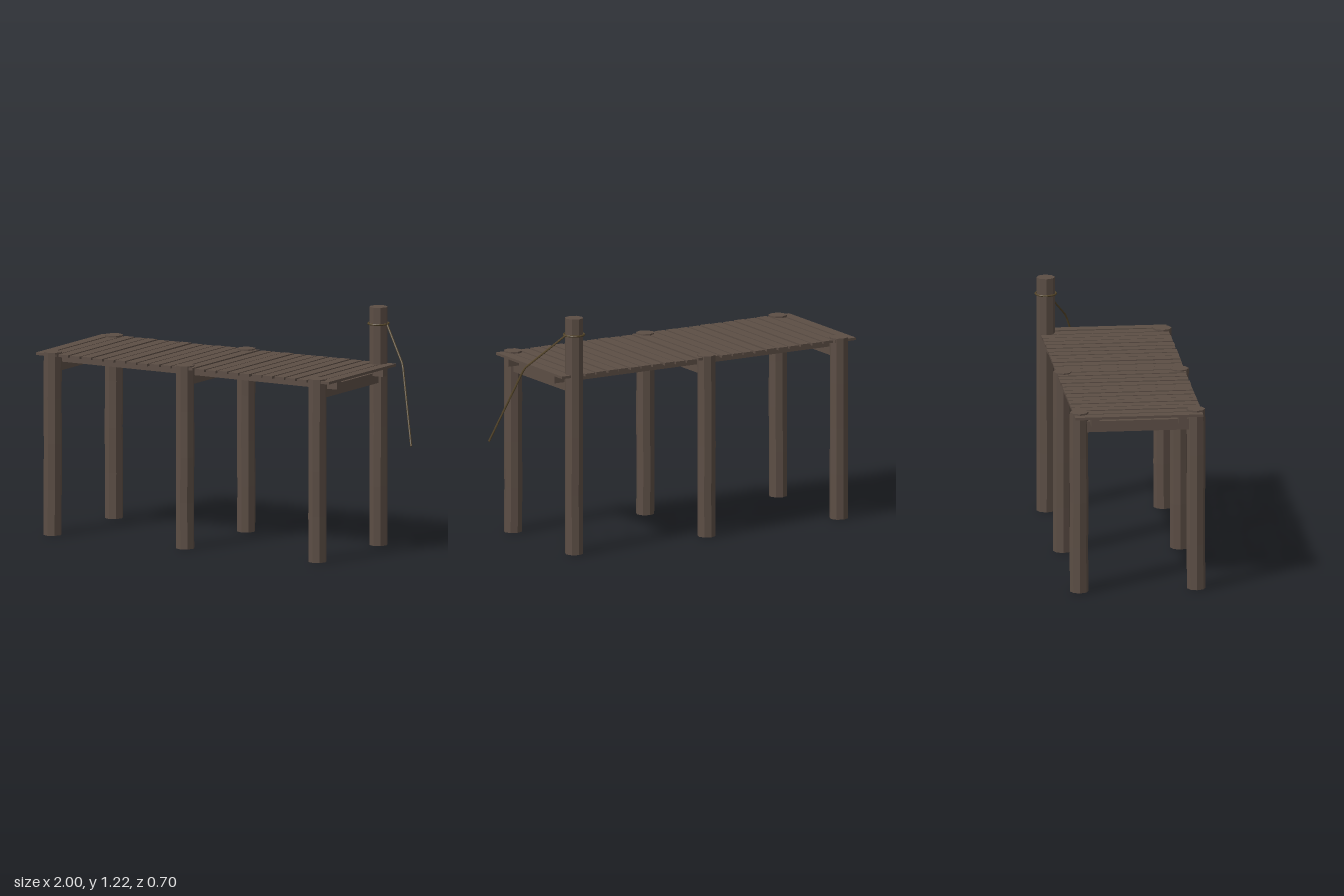
import * as THREE from 'three';

export function createModel() {
  const model = new THREE.Group();
  model.name = 'jetty';

  const wood = new THREE.MeshStandardMaterial({ color: 0x5c4e45, flatShading: true });
  wood.name = 'weathered wood';
  const ropeMat = new THREE.MeshStandardMaterial({ color: 0x54452a, flatShading: true });
  ropeMat.name = 'rope';

  // Small seeded generator, returns -1..1
  let seed = 7;
  const rand = () => {
    seed = (seed * 16807) % 2147483647;
    return (seed / 2147483647) * 2 - 1;
  };

  const add = (name, geometry, material, x = 0, y = 0, z = 0) => {
    const mesh = new THREE.Mesh(geometry, material);
    mesh.name = name;
    mesh.position.set(x, y, z);
    model.add(mesh);
    return mesh;
  };

  // Octagonal post whose rings are shifted a little, like a hewn log
  const postGeometry = (height) => {
    const segments = 4;
    const geometry = new THREE.CylinderGeometry(0.047, 0.047, height, 8, segments);
    const shifts = Array.from({ length: segments + 1 }, () => [rand() * 0.0015, rand() * 0.0015]);
    const p = geometry.attributes.position;
    for (let i = 0; i < p.count; i++) {
      const ring = Math.round((p.getY(i) / height + 0.5) * segments);
      const [dx, dz] = shifts[ring];
      p.setX(i, p.getX(i) + dx);
      p.setZ(i, p.getZ(i) + dz);
    }
    geometry.computeVertexNormals();
    return geometry;
  };

  // Posts in pairs, with a cross beam between each pair
  const postX = [-0.915, -0.135, 0.645];
  const postZ = 0.296;
  postX.forEach((x, i) => {
    for (const side of [1, -1]) {
      const isMooring = i === 2 && side === -1;
      const height = isMooring ? 1.217 : 0.935;
      add(isMooring ? 'mooringPost' : 'post', postGeometry(height), wood, x, height / 2, side * postZ);
    }
    add('crossBeam', new THREE.BoxGeometry(0.045, 0.056, 0.53), wood, x, 0.862, 0);
  });

  // Long stringers under the deck
  for (const side of [1, -1]) {
    add('stringer', new THREE.BoxGeometry(1.725, 0.038, 0.04), wood, -0.135, 0.896, side * 0.222);
  }

  // Deck planks, each slightly out of true
  const count = 26;
  const pitch = 0.0669;
  for (let i = 0; i < count; i++) {
    const plank = add('plank', new THREE.BoxGeometry(0.056, 0.013, 0.648), wood,
      -0.97 + i * pitch, 0.921 + rand() * 0.0015, rand() * 0.002);
    plank.rotation.y = rand() * 0.006;
  }

  // Rope loop round the tall post
  const loop = add('ropeLoop', new THREE.TorusGeometry(0.052, 0.005, 6, 20), ropeMat, 0.645, 1.131, -postZ);
  loop.rotation.x = Math.PI / 2;

  // Loose rope end hanging in two straight runs
  const path = new THREE.CurvePath();
  const points = [[0.695, 1.131, -0.296], [0.863, 0.957, -0.172], [0.992, 0.57, -0.042]]
    .map((p) => new THREE.Vector3(...p));
  path.add(new THREE.LineCurve3(points[0], points[1]));
  path.add(new THREE.LineCurve3(points[1], points[2]));
  const ropeGeometry = new THREE.TubeGeometry(path, 24, 0.005, 6, false);
  add('hangingRope', ropeGeometry, ropeMat);
  const ropeTip = add('ropeTip', new THREE.CircleGeometry(0.005, 6), ropeMat, ...points[2].toArray());
  ropeTip.lookAt(points[2].clone().multiplyScalar(2).sub(points[1]));

  return model;
}
